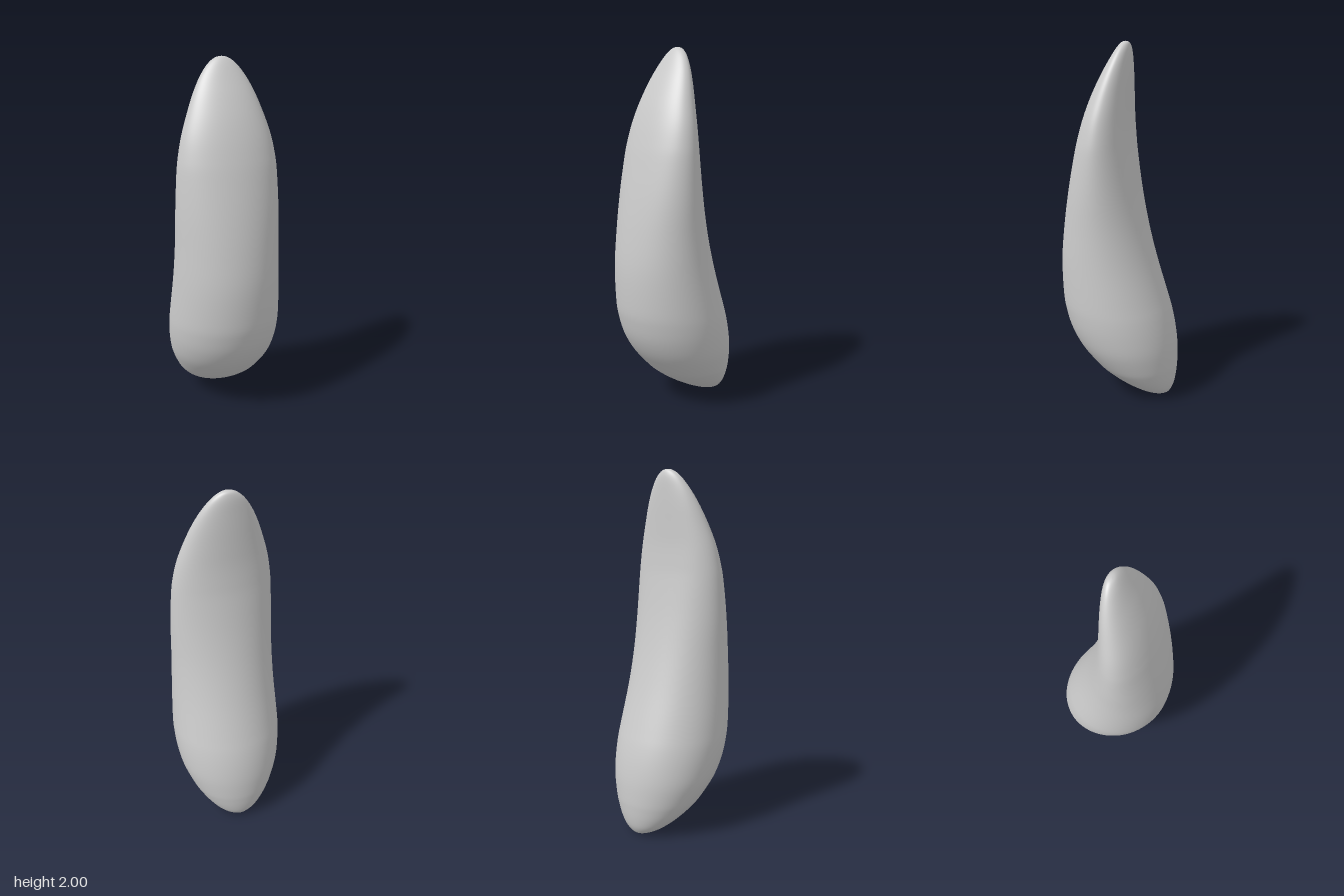
import * as THREE from 'three';

// Horizontal sections from bottom to top: [height, front z, back z, half width]
const SECTIONS = [
  [0, -0.26, -0.26, 0],
  [0.006, -0.21, -0.29, 0.045],
  [0.025, -0.155, -0.306, 0.092],
  [0.055, -0.085, -0.319, 0.137],
  [0.1, 0.0, -0.328, 0.183],
  [0.15, 0.077, -0.333, 0.221],
  [0.2, 0.137, -0.335, 0.25],
  [0.3, 0.225, -0.331, 0.29],
  [0.4, 0.283, -0.317, 0.309],
  [0.5, 0.315, -0.294, 0.316],
  [0.6, 0.331, -0.263, 0.313],
  [0.8, 0.336, -0.2, 0.301],
  [1.0, 0.317, -0.147, 0.292],
  [1.2, 0.286, -0.106, 0.288],
  [1.4, 0.246, -0.076, 0.278],
  [1.5, 0.222, -0.066, 0.266],
  [1.6, 0.193, -0.06, 0.245],
  [1.7, 0.157, -0.059, 0.213],
  [1.8, 0.112, -0.059, 0.175],
  [1.88, 0.07, -0.058, 0.136],
  [1.94, 0.036, -0.056, 0.096],
  [1.975, 0.013, -0.051, 0.062],
  [1.994, -0.005, -0.042, 0.03],
  [2, -0.022, -0.022, 0],
];

function createBody() {
  const smooth = (points) => new THREE.CatmullRomCurve3(points, false, 'catmullrom', 0.5);
  const profile = smooth(SECTIONS.map(([y, front, back]) => new THREE.Vector3(front, y, back)));
  const width = smooth(SECTIONS.map((s) => new THREE.Vector3(s[3], 0, 0)));
  const rings = (SECTIONS.length - 1) * 4;
  const sides = 72;
  const positions = [];
  const index = [];

  // Bottom pole, elliptical rings, top pole
  positions.push(0, SECTIONS[0][0], SECTIONS[0][1]);
  for (let i = 1; i < rings; i++) {
    const p = profile.getPoint(i / rings);
    const w = width.getPoint(i / rings).x;
    for (let j = 0; j < sides; j++) {
      const a = (j / sides) * Math.PI * 2;
      positions.push(w * Math.sin(a), p.y, (p.x + p.z) / 2 + ((p.x - p.z) / 2) * Math.cos(a));
    }
  }
  const last = SECTIONS[SECTIONS.length - 1];
  positions.push(0, last[0], last[1]);

  const at = (ring, j) => 1 + (ring - 1) * sides + (j % sides);
  const top = positions.length / 3 - 1;
  for (let j = 0; j < sides; j++) {
    index.push(0, at(1, j + 1), at(1, j));
    for (let i = 1; i < rings - 1; i++) {
      const a = at(i, j), b = at(i, j + 1), c = at(i + 1, j + 1), d = at(i + 1, j);
      index.push(a, b, c, a, c, d);
    }
    index.push(at(rings - 1, j), at(rings - 1, j + 1), top);
  }

  const geometry = new THREE.BufferGeometry();
  geometry.setAttribute('position', new THREE.Float32BufferAttribute(positions, 3));
  geometry.setIndex(index);
  geometry.computeVertexNormals();
  return geometry;
}

export function createModel() {
  const group = new THREE.Group();
  group.name = 'curvedPod';
  const body = new THREE.Mesh(createBody(), new THREE.MeshStandardMaterial({ color: 0xcccccc }));
  body.name = 'body';
  group.add(body);
  return group;
}
